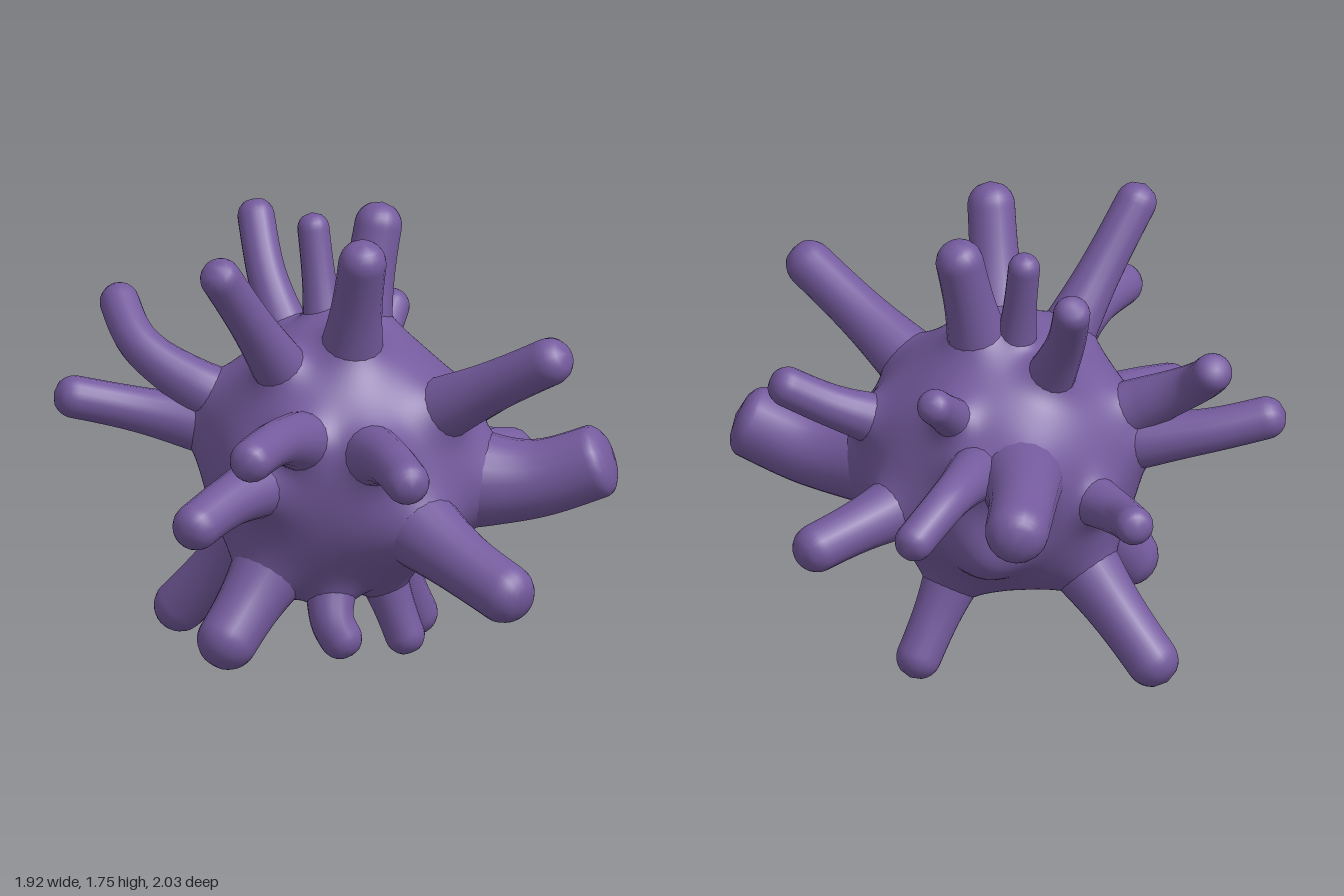
import * as THREE from 'three';
import { mergeVertices } from 'three/addons/utils/BufferGeometryUtils.js';

const CENTRE = new THREE.Vector3(0.01, 0.79, -0.03);
const BODY_RADIUS = 0.51;

// Arms grow straight out from the centre: name, tip, radius,
// then an optional sideways bend and a roundness of the end
const ARMS = [
  // crown
  ['topRightArm', [-0.67, 1.69, 0.07], 0.078],
  ['topFrontArm', [-0.14, 1.73, 0.32], 0.09],
  ['topLeftArm', [0.26, 1.72, -0.08], 0.09],
  ['topMiddleArm', [0.05, 1.68, -0.24], 0.06],
  ['topBackArm', [0.08, 1.63, -0.63], 0.07, [-0.05, 0, 0]],
  // front
  ['frontUpperArm', [0.36, 1.35, 0.91], 0.09],
  ['frontMiddleArm', [-0.41, 0.98, 0.95], 0.085, [0, 0.06, 0]],
  ['frontLowerArm', [0.09, 0.43, 1], 0.115, [-0.03, 0, 0]],
  ['bluntArm', [0.73, 0.83, 0.72], 0.14, [0, -0.09, 0], 0.5],
  // left side
  ['leftUpperArm', [0.82, 1.14, 0.33], 0.076, [0, -0.03, 0]],
  ['leftMiddleArm', [0.96, 0.6, -0.09], 0.092],
  ['leftBackArm', [0.87, 0.82, -0.7], 0.075, [0, 0.13, -0.1]],
  ['leftKnob', [0.55, 1.24, -0.36], 0.068],
  // right side
  ['rightMiddleArm', [-0.96, 0.73, 0.26], 0.09, [0, 0.04, 0]],
  ['rightUpperArm', [-0.91, 1.07, 0.56], 0.082, [0, 0.08, 0.02]],
  ['rightBackUpperArm', [-0.42, 1.33, -0.84], 0.075, [-0.18, 0, 0]],
  ['rightBackArm', [-0.8, 1.02, -0.72], 0.08, [0, 0, -0.06]],
  // back
  ['backArm', [0.02, 0.84, -0.99], 0.074, [-0.08, -0.05, 0]],
  ['backThickArm', [0.57, 0.9, -1], 0.12, [-0.05, 0.05, 0]],
  // feet
  ['leftFoot', [0.47, 0, -0.1], 0.085],
  ['middleFoot', [0.21, 0.02, 0.16], 0.075],
  ['frontFoot', [-0.16, 0.11, 0.27], 0.08, [-0.08, 0, 0]],
  ['backFoot', [-0.29, 0.03, -0.7], 0.1],
  ['rightFoot', [-0.66, 0.12, 0.06], 0.115],
];

// Path from inside the body, through the base and a bent middle, to the tip
function armCurve(tipXYZ, bendXYZ = [0, 0, 0]) {
  const tip = new THREE.Vector3(...tipXYZ);
  const bend = new THREE.Vector3(...bendXYZ);
  const base = tip.clone().sub(CENTRE).setLength(BODY_RADIUS).add(CENTRE);
  const middle = base.clone().lerp(tip, 0.45).add(bend);
  base.add(bend);
  const root = base.clone().lerp(CENTRE, 0.25);
  return new THREE.CatmullRomCurve3([root, base, middle, tip]);
}

// Weld seams so the normals run smoothly all the way round
function smooth(geometry) {
  geometry.deleteAttribute('uv');
  geometry.deleteAttribute('normal');
  const welded = mergeVertices(geometry, 1e-4);
  welded.computeVertexNormals();
  return welded;
}

// Ball drawn out into a concave peak around the foot of every arm
function bodyGeometry() {
  const geometry = new THREE.SphereGeometry(1, 128, 88);
  const peaks = ARMS.map(([, tip, radius, bend]) => ({
    dir: armCurve(tip, bend).points[1].sub(CENTRE).normalize(),
    height: 2.2 * radius,
    width: 1.6 * radius,
  }));
  const pos = geometry.attributes.position;
  const lump = new THREE.Vector3(0.4, -0.22, -0.5).normalize();
  const v = new THREE.Vector3();
  for (let i = 0; i < pos.count; i++) {
    v.fromBufferAttribute(pos, i).normalize();
    let sum = 0;
    for (const { dir, height, width } of peaks) {
      sum += (height * Math.exp(-v.angleTo(dir) / width)) ** 2;
    }
    const swell = 0.13 * Math.exp(-((v.angleTo(lump) / 0.28) ** 2));
    v.multiplyScalar(BODY_RADIUS + Math.sqrt(sum) + swell).add(CENTRE);
    pos.setXYZ(i, v.x, v.y, v.z);
  }
  return smooth(geometry);
}

// Bent tube with a slightly flared foot and a rounded end
function armGeometry(tip, radius, bend, roundness = 1) {
  const curve = armCurve(tip, bend);
  const length = curve.getLength();
  const rows = 44, sides = 18;
  const geometry = new THREE.TubeGeometry(curve, rows, 1, sides);
  const pos = geometry.attributes.position;
  const v = new THREE.Vector3();
  for (let row = 0; row <= rows; row++) {
    const t = row / rows;
    const centre = curve.getPointAt(t);
    const k = Math.max(0, 1 - ((1 - t) * length) / (radius * roundness));
    const flare = 1 + 0.45 * Math.exp(-((t / 0.38) ** 2));
    const r = radius * flare * Math.sqrt(1 - k * k);
    for (let s = 0; s <= sides; s++) {
      const i = row * (sides + 1) + s;
      v.fromBufferAttribute(pos, i).sub(centre).multiplyScalar(r).add(centre);
      pos.setXYZ(i, v.x, v.y, v.z);
    }
  }
  return smooth(geometry);
}

export function createModel() {
  const group = new THREE.Group();
  group.name = 'spikyCreature';
  const purple = new THREE.MeshStandardMaterial({ color: 0x755b9e });
  purple.name = 'purple';

  const add = (name, geometry) => {
    const mesh = new THREE.Mesh(geometry, purple);
    mesh.name = name;
    group.add(mesh);
  };

  add('body', bodyGeometry());
  for (const [name, ...shape] of ARMS) add(name, armGeometry(...shape));
  return group;
}
